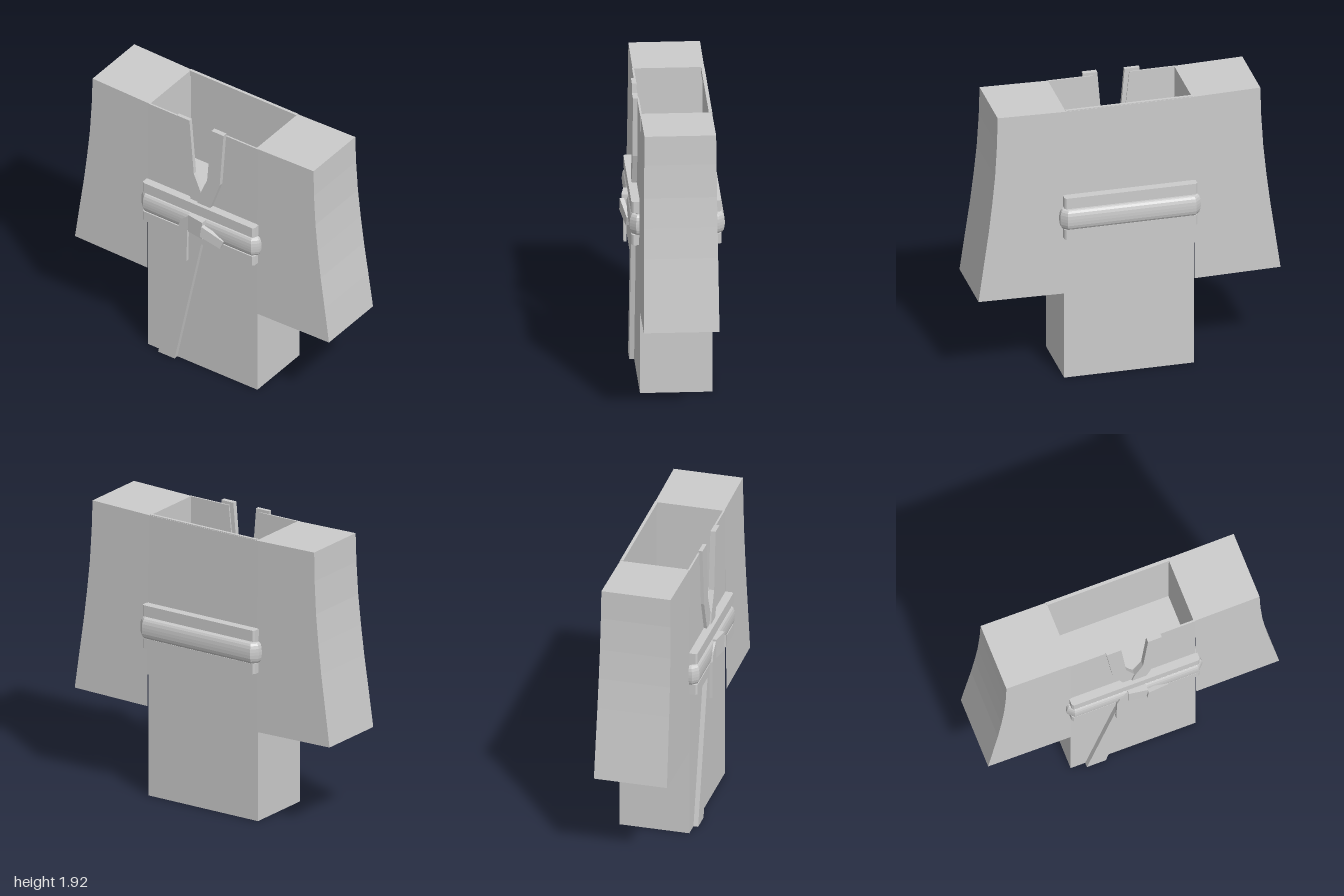
import * as THREE from 'three';

const cloth = new THREE.MeshStandardMaterial({ color: 0xcccccc, flatShading: true, side: THREE.DoubleSide });

function add(parent, name, geometry) {
  const mesh = new THREE.Mesh(geometry, cloth);
  mesh.name = name;
  parent.add(mesh);
  return mesh;
}

const toShape = pts => new THREE.Shape(pts.map(p => new THREE.Vector2(...p)));

// Flat piece of cloth outlined in x/y, from z0 to z1
function plate(pts, z0, z1) {
  return new THREE.ExtrudeGeometry(toShape(pts), { depth: z1 - z0, bevelEnabled: false }).translate(0, 0, z0);
}

function box(x0, x1, y0, y1, z0, z1) {
  return new THREE.BoxGeometry(x1 - x0, y1 - y0, z1 - z0)
    .translate((x0 + x1) / 2, (y0 + y1) / 2, (z0 + z1) / 2);
}

// Rectangle in x/z with chamfered corners
function outline(hx, back, front, c) {
  return [[-hx + c, back], [hx - c, back], [hx, back + c], [hx, front - c],
    [hx - c, front], [-hx + c, front], [-hx, front - c], [-hx, back + c]];
}

// Horizontal slab or ring, from y0 up to y1
function ring(pts, hole, y0, y1) {
  const shape = toShape(pts);
  shape.holes.push(new THREE.Path(hole.map(p => new THREE.Vector2(...p))));
  return new THREE.ExtrudeGeometry(shape, { depth: y1 - y0, bevelEnabled: false })
    .rotateX(Math.PI / 2).translate(0, y1, 0);
}

// Hanging sleeve: U-shaped sections down the arm, closed on top and open below
function sleeveGeometry(side) {
  const levels = [[1.915, 0.87], [1.72, 0.875], [1.5, 0.888], [1.3, 0.908], [1.1, 0.932], [0.87, 0.965], [0.62, 1]];
  const rows = levels.map(([y, x], i) => {
    const t = i / (levels.length - 1);
    const front = 0.214 + 0.012 * t, back = -0.246 - 0.014 * t;
    const inner = y - 0.01;
    return [[0.43, inner, front], [x, y, front], [x, y, back], [0.43, inner, back]];
  });
  const pos = [];
  const quad = (a, b, c, d) => {
    const order = side > 0 ? [a, b, c, a, c, d] : [a, c, b, a, d, c];
    order.forEach(p => pos.push(p[0] * side, p[1], p[2]));
  };
  quad(...rows[0]);
  for (let i = 0; i < rows.length - 1; i++) {
    for (let j = 0; j < 3; j++) quad(rows[i][j], rows[i + 1][j], rows[i + 1][j + 1], rows[i][j + 1]);
  }
  const g = new THREE.BufferGeometry();
  g.setAttribute('position', new THREE.Float32BufferAttribute(pos, 3));
  g.computeVertexNormals();
  return g;
}

export function createModel() {
  const model = new THREE.Group();
  model.name = 'robe';

  // Body: open tube with a V neckline cut into the front
  const body = new THREE.Group();
  body.name = 'body';
  model.add(body);
  add(body, 'frontPanel', plate([[-0.43, 0], [0.43, 0], [0.43, 1.905], [0.12, 1.905], [0.08, 1.52],
    [0, 1.39], [-0.08, 1.52], [-0.12, 1.905], [-0.43, 1.905]], 0.205, 0.217));
  add(body, 'backPanel', box(-0.43, 0.43, 0, 1.905, -0.248, -0.236));
  add(body, 'backNeckFacing', box(-0.42, 0.42, 1.87, 1.91, -0.245, -0.225));
  for (const s of [-1, 1]) {
    add(body, 'sidePanel', box(s * 0.424 - 0.006, s * 0.424 + 0.006, 0, 1.905, -0.24, 0.21));
    add(model, s > 0 ? 'leftSleeve' : 'rightSleeve', sleeveGeometry(s));
  }

  // Collar: the left band overlaps and runs down to the hem
  add(model, 'rightCollar', plate([[-0.19, 1.925], [-0.09, 1.925], [-0.056, 1.52], [0, 1.39],
    [0.03, 1.25], [-0.06, 1.25], [-0.15, 1.52]], 0.212, 0.238));
  add(model, 'leftCollar', plate([[0.185, 1.925], [0.09, 1.925], [0.056, 1.52], [0, 1.39],
    [-0.09, 1.02], [-0.33, 0], [-0.2, 0], [0.015, 1.02], [0.08, 1.31], [0.155, 1.52]], 0.214, 0.248));

  // Wide sash around the waist
  const sash = new THREE.Group();
  sash.name = 'sash';
  model.add(sash);
  const hole = [[-0.42, -0.24], [-0.42, 0.21], [0.42, 0.21], [0.42, -0.24]];
  for (const [y0, y1] of [[1.015, 1.085], [1.235, 1.31]]) {
    add(sash, 'sashBand', ring(outline(0.44, -0.306, 0.272, 0.012), hole, y0, y1));
  }
  add(sash, 'sashCore', ring(outline(0.435, -0.28, 0.245, 0.012), hole, 1.08, 1.24));

  // Rolled cord, bulging at mid height
  const roll = new THREE.ExtrudeGeometry(toShape(outline(0.44, -0.303, 0.258, 0.025)), {
    depth: 0.02, bevelEnabled: true, bevelThickness: 0.06, bevelSize: 0.025, bevelSegments: 4,
  }).rotateX(Math.PI / 2).translate(0, 1.165, 0);
  add(sash, 'rolledCord', roll);

  // Knot with a hanging tail and a slanted loose end
  const knot = new THREE.Group();
  knot.name = 'knot';
  model.add(knot);
  const front = plate([[-0.06, 1.095], [0.065, 1.095], [0.065, 1.225], [-0.06, 1.225]], 0.27, 0.315);
  const end = plate([[0.055, 1.12], [0.19, 1.06], [0.212, 1.12], [0.065, 1.2]], 0.3, 0.328);
  const shear = (g, x0, k) => {
    const p = g.attributes.position;
    for (let i = 0; i < p.count; i++) p.setZ(i, p.getZ(i) + k * (p.getX(i) - x0));
    g.computeVertexNormals();
    return g;
  };
  add(knot, 'knotFront', shear(front, 0.065, 0.15));
  add(knot, 'looseEnd', shear(end, 0.055, -0.25));
  add(knot, 'hangingTail', plate([[-0.145, 0.845], [-0.075, 0.85], [-0.07, 1.1], [-0.055, 1.13],
    [-0.055, 1.215], [-0.12, 1.165], [-0.14, 1.1]], 0.272, 0.292));

  return model;
}
